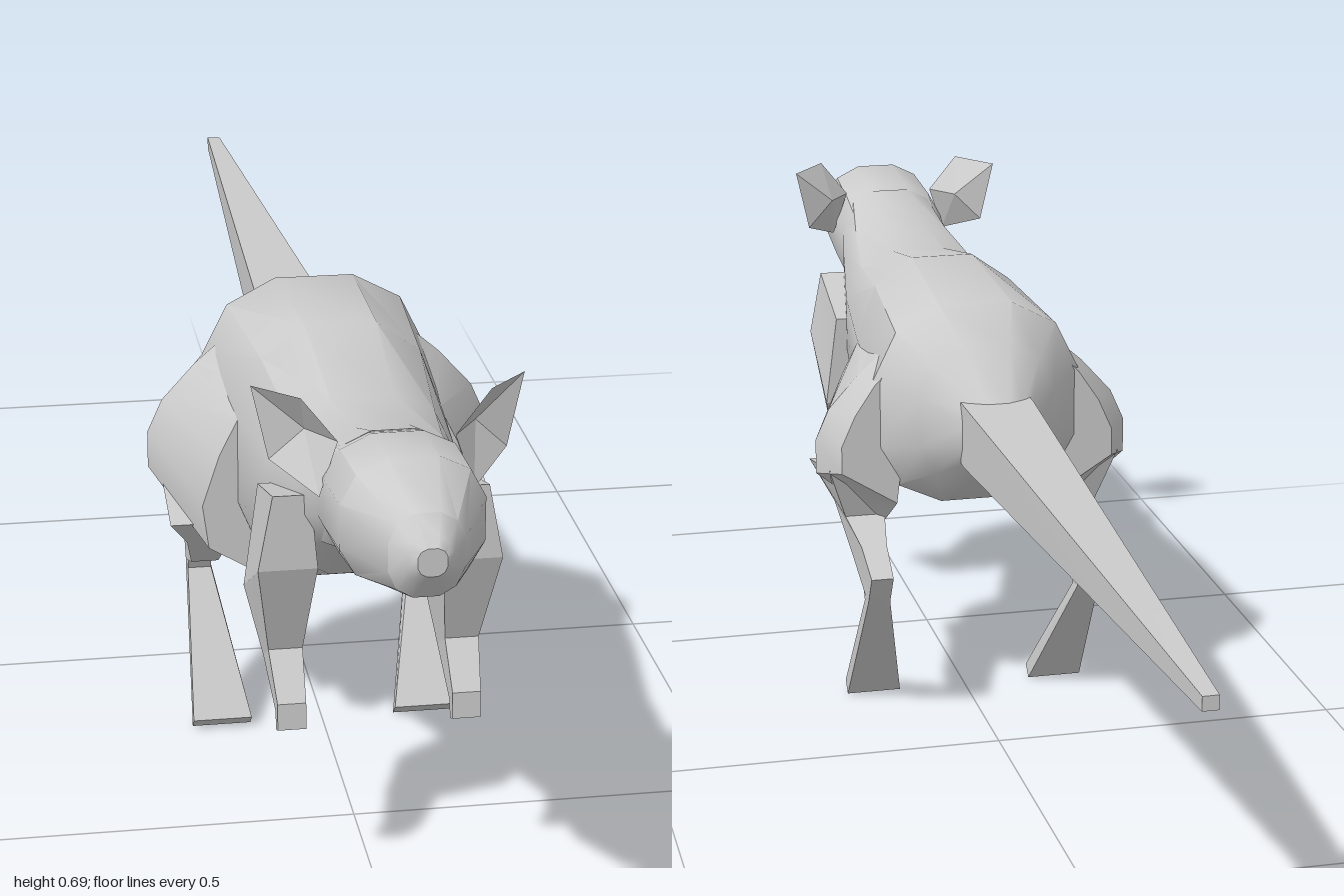
import * as THREE from 'three';
import { toCreasedNormals } from 'three/addons/utils/BufferGeometryUtils.js';

const material = new THREE.MeshStandardMaterial({ color: 0xcccccc, side: THREE.DoubleSide });

// Skin a list of equal-length rings of [x, y, z] points; caps both ends, faces turned outward.
function loft(name, rings, crease = 0.1, side = 1) {
  const n = rings[0].length;
  const points = rings.flat().map(([x, y, z]) => new THREE.Vector3(x * side, y, z));
  const tris = [];
  for (let r = 0; r < rings.length - 1; r++) {
    for (let i = 0; i < n; i++) {
      const a = r * n + i, b = r * n + (i + 1) % n;
      tris.push([a, b, b + n], [a, b + n, a + n]);
    }
  }
  const last = (rings.length - 1) * n;
  for (let i = 1; i < n - 1; i++) {
    tris.push([0, i + 1, i], [last, last + i, last + i + 1]);
  }
  let volume = 0;
  const cross = new THREE.Vector3();
  for (const [a, b, c] of tris) volume += points[a].dot(cross.crossVectors(points[b], points[c]));
  const index = tris.flatMap(([a, b, c]) => (volume < 0 ? [a, c, b] : [a, b, c]));
  const geometry = new THREE.BufferGeometry().setFromPoints(points);
  geometry.setIndex(index);
  const mesh = new THREE.Mesh(toCreasedNormals(geometry, crease), material);
  mesh.name = name;
  return mesh;
}

// Rounded cross-section facing z: separate upper and lower heights around the widest level.
function oval([z, top, bottom, halfWidth, mid]) {
  const ring = [];
  const soft = (v) => Math.sign(v) * Math.pow(Math.abs(v), 0.8);
  for (let i = 0; i < 12; i++) {
    const a = (i + 0.5) / 12 * Math.PI * 2;
    const s = soft(Math.cos(a) / Math.cos(Math.PI / 12));
    ring.push([halfWidth * soft(Math.sin(a)), mid + s * (s > 0 ? top - mid : mid - bottom), z]);
  }
  return ring;
}

// Four-sided limb cross-section: x range, then the front and rear [y, z] points.
const limb = (x0, x1, [yf, zf], [yr, zr]) => [[x0, yf, zf], [x1, yf, zf], [x1, yr, zr], [x0, yr, zr]];

function ear(side) {
  // Open cup: rim joined to a point at the back
  const rim = [[0.09, 0.575, 0.78], [0.14, 0.6, 0.72], [0.16, 0.69, 0.715], [0.11, 0.693, 0.77], [0.068, 0.64, 0.775]];
  const back = [0.1, 0.64, 0.73];
  const points = rim.flatMap((p, i) => [p, rim[(i + 1) % rim.length], back])
    .map(([x, y, z]) => new THREE.Vector3(x * side, y, z));
  const geometry = new THREE.BufferGeometry().setFromPoints(points);
  geometry.computeVertexNormals();
  const mesh = new THREE.Mesh(geometry, material);
  mesh.name = side > 0 ? 'leftEar' : 'rightEar';
  return mesh;
}

export function createModel() {
  const model = new THREE.Group();
  model.name = 'longTailedAnimal';

  // Trunk and neck, from rump to throat
  model.add(loft('body', [
    [0, 0.51, 0.42, 0.045, 0.465],
    [0.07, 0.575, 0.37, 0.1, 0.465],
    [0.14, 0.617, 0.325, 0.155, 0.46],
    [0.37, 0.632, 0.285, 0.135, 0.45],
    [0.54, 0.6, 0.365, 0.118, 0.49],
    [0.68, 0.617, 0.455, 0.095, 0.54],
    [0.76, 0.645, 0.48, 0.08, 0.57],
  ].map(oval), 0.6));

  // Head tapering to the nose
  model.add(loft('head', [
    [0.7, 0.622, 0.475, 0.085, 0.55],
    [0.78, 0.65, 0.485, 0.088, 0.57],
    [0.88, 0.66, 0.505, 0.085, 0.58],
    [0.965, 0.63, 0.53, 0.044, 0.58],
  ].map(oval), 0.6));
  model.add(loft('nose', [
    [0.965, 0.63, 0.53, 0.044, 0.58],
    [0.99, 0.612, 0.558, 0.027, 0.585],
    [1, 0.603, 0.57, 0.017, 0.587],
  ].map(oval), 0.6));

  // Square tapering tail
  model.add(loft('tail', [[0.02, 0.05, 0.51, 0.42], [0, 0.05, 0.51, 0.42], [-1, 0.01, 0.475, 0.457]].map(
    ([z, w, top, bottom]) => [[-w, top, z], [w, top, z], [w, bottom, z], [-w, bottom, z]])));

  for (const side of [1, -1]) {
    const label = side > 0 ? 'left' : 'right';
    model.add(ear(side));

    // Bulging thigh, front section to rear section
    const section = (z, pts) => pts.map(([x, y]) => [x, y, z]);
    model.add(loft(label + 'Thigh', [
      section(0.365, [[0.09, 0.54], [0.13, 0.51], [0.155, 0.46], [0.178, 0.39], [0.17, 0.33], [0.12, 0.3]]),
      section(0.175, [[0.09, 0.58], [0.165, 0.515], [0.21, 0.465], [0.23, 0.42], [0.23, 0.37], [0.13, 0.29]]),
      section(0.13, [[0.09, 0.57], [0.15, 0.51], [0.18, 0.465], [0.2, 0.42], [0.2, 0.38], [0.12, 0.33]]),
    ], 0.45, side));

    // Shank sloping back to the hock
    model.add(loft(label + 'Shank', [
      limb(0.12, 0.215, [0.345, 0.32], [0.38, 0.15]),
      limb(0.13, 0.188, [0.295, 0.265], [0.3, 0.175]),
      limb(0.138, 0.175, [0.232, 0.19], [0.27, 0.12]),
      limb(0.14, 0.172, [0.195, 0.1], [0.24, 0.062]),
    ], 0.1, side));

    // Long foot widening to the toes
    model.add(loft(label + 'Foot', [
      limb(0.14, 0.172, [0.215, 0.13], [0.24, 0.062]),
      limb(0.14, 0.172, [0.19, 0.118], [0.195, 0.09]),
      limb(0.1, 0.18, [0.016, 0.242], [0, 0.226]),
    ], 0.1, side));

    // Foreleg with a small paw
    model.add(loft(label + 'Foreleg', [
      limb(0.085, 0.13, [0.535, 0.68], [0.495, 0.545]),
      limb(0.076, 0.148, [0.44, 0.682], [0.36, 0.545]),
      limb(0.088, 0.13, [0.315, 0.638], [0.285, 0.59]),
      limb(0.09, 0.125, [0.262, 0.682], [0.245, 0.662]),
      limb(0.09, 0.125, [0.228, 0.684], [0.222, 0.67]),
    ], 0.1, side));
  }
  return model;
}
